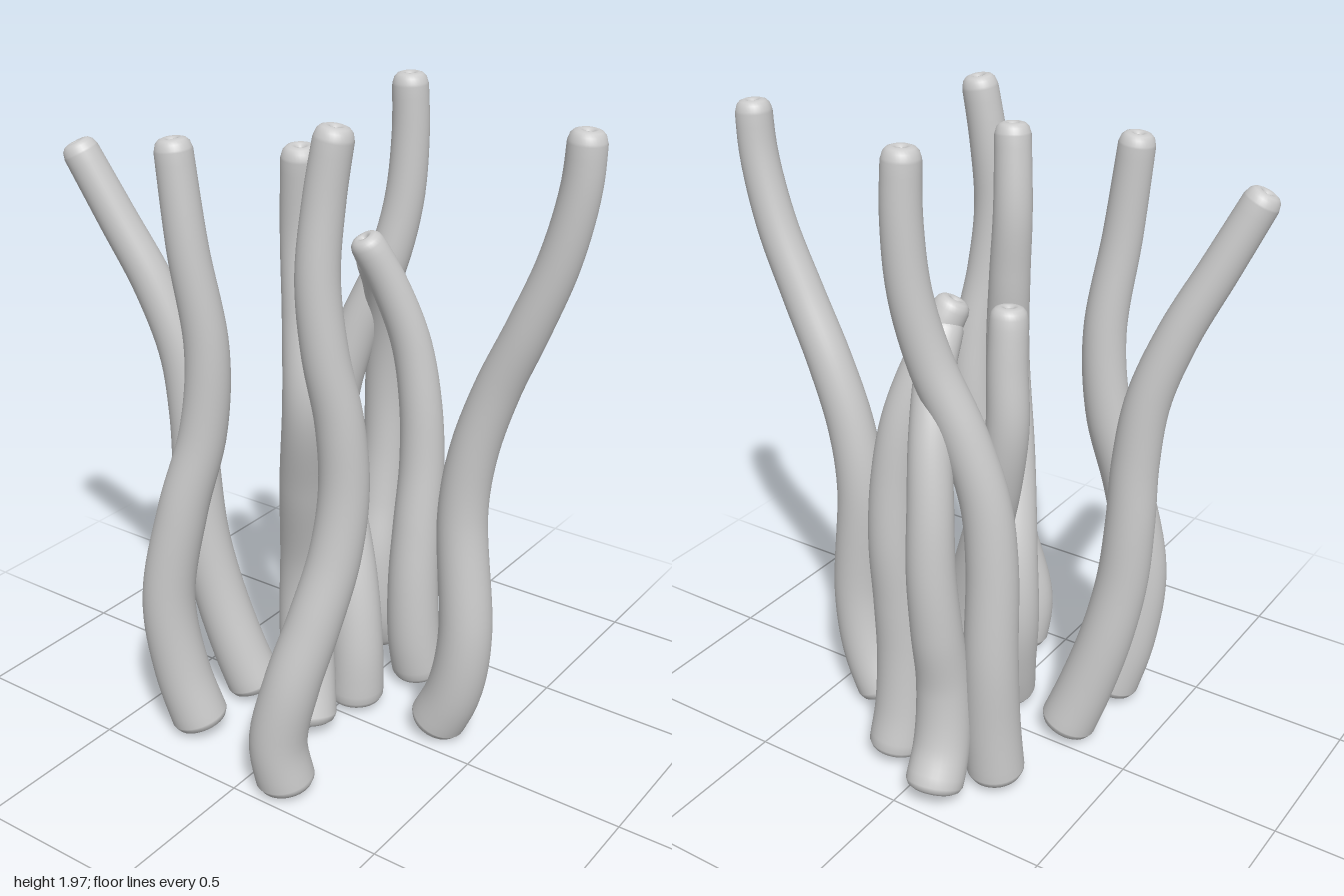
import * as THREE from 'three';

const SIDES = 32, STEPS = 56;
const FOOT_RADIUS = 0.088, TIP_RADIUS = 0.052;

// Centre lines from foot to tip, as [x, y, z]
const STALKS = {
  frontStalk: [[0.1, 0.05, 0.32], [0.1, 0.2, 0.385], [0.1, 0.4, 0.415], [0.11, 0.8, 0.385], [0.115, 1.0, 0.41], [0.125, 1.2, 0.47], [0.13, 1.4, 0.555], [0.14, 1.6, 0.63], [0.145, 1.8, 0.675], [0.145, 1.955, 0.685]],
  backStalk: [[-0.065, 0.05, -0.255], [-0.09, 0.2, -0.305], [-0.115, 0.4, -0.36], [-0.135, 0.6, -0.395], [-0.14, 0.8, -0.41], [-0.145, 1.0, -0.415], [-0.155, 1.2, -0.44], [-0.185, 1.4, -0.505], [-0.23, 1.6, -0.595], [-0.28, 1.815, -0.69]],
  backRightStalk: [[-0.32, 0.05, -0.27], [-0.35, 0.25, -0.32], [-0.37, 0.5, -0.34], [-0.345, 0.8, -0.29], [-0.305, 1.05, -0.235], [-0.3, 1.3, -0.215], [-0.33, 1.6, -0.245], [-0.34, 1.895, -0.275]],
  innerRightStalk: [[-0.13, 0.05, 0.0], [-0.09, 0.2, -0.03], [-0.06, 0.4, -0.06], [-0.07, 0.6, -0.05], [-0.155, 0.9, 0.01], [-0.23, 1.2, 0.075], [-0.215, 1.45, 0.06], [-0.205, 1.65, 0.045], [-0.225, 1.9, 0.06]],
  frontRightStalk: [[-0.405, 0.04, 0.125], [-0.425, 0.2, 0.11], [-0.41, 0.4, 0.15], [-0.36, 0.6, 0.195], [-0.31, 0.8, 0.23], [-0.29, 1.0, 0.245], [-0.305, 1.2, 0.24], [-0.335, 1.4, 0.215], [-0.345, 1.6, 0.2], [-0.33, 1.8, 0.21], [-0.315, 1.99, 0.235]],
  centreStalk: [[0.08, 0.04, 0.035], [0.08, 0.25, 0.035], [0.1, 0.5, 0.0], [0.14, 0.75, -0.08], [0.18, 1.0, -0.16], [0.2, 1.2, -0.2], [0.195, 1.38, -0.195], [0.18, 1.54, -0.19]],
  innerLeftStalk: [[0.315, 0.05, 0.125], [0.29, 0.2, 0.115], [0.285, 0.4, 0.11], [0.3, 0.6, 0.11], [0.32, 0.8, 0.11], [0.32, 1.0, 0.1], [0.305, 1.2, 0.07], [0.26, 1.38, 0.02], [0.2, 1.535, -0.035]],
  outerLeftStalk: [[0.44, 0.07, -0.1], [0.375, 0.2, -0.09], [0.355, 0.4, -0.085], [0.385, 0.6, -0.085], [0.4, 0.8, -0.08], [0.39, 1.0, -0.075], [0.355, 1.2, -0.055], [0.29, 1.37, -0.03], [0.22, 1.48, -0.02]],
  tallLeftStalk: [[0.25, 0.05, -0.2], [0.265, 0.25, -0.195], [0.28, 0.5, -0.2], [0.275, 0.8, -0.2], [0.28, 1.0, -0.18], [0.305, 1.2, -0.125], [0.34, 1.4, -0.05], [0.37, 1.6, -0.008], [0.38, 1.8, 0.005], [0.375, 1.985, 0.003]],
};

// Rounded rim with a small dimple: [distance inward, share of the radius]
const CAP = [[0.02, 0.001], [0.012, 0.14], [0.002, 0.3], [0, 0.5], [0.004, 0.72], [0.013, 0.89], [0.028, 0.98]];

function stalkGeometry(points) {
  const curve = new THREE.CatmullRomCurve3(points.map((p) => new THREE.Vector3(...p)));
  const frames = curve.computeFrenetFrames(STEPS, false);
  const length = curve.getLength();
  const rings = [];
  const addRing = (i, offset, scale) => {
    const t = i / STEPS;
    rings.push({
      centre: curve.getPointAt(t).addScaledVector(frames.tangents[i], offset),
      radius: scale * THREE.MathUtils.lerp(FOOT_RADIUS, TIP_RADIUS, t),
      n: frames.normals[i], b: frames.binormals[i],
    });
  };
  // foot cap, body, tip cap
  CAP.forEach(([d, s]) => addRing(0, d, s));
  for (let i = 1; i < STEPS; i++) {
    const d = (Math.min(i, STEPS - i) / STEPS) * length;
    if (d > 0.03) addRing(i, 0, 1);
  }
  [...CAP].reverse().forEach(([d, s]) => addRing(STEPS, -d, s));

  const position = [], index = [];
  rings.forEach(({ centre, radius, n, b }, r) => {
    for (let j = 0; j < SIDES; j++) {
      const a = (j / SIDES) * Math.PI * 2;
      const p = centre.clone().addScaledVector(n, radius * Math.cos(a)).addScaledVector(b, radius * Math.sin(a));
      position.push(p.x, p.y, p.z);
      if (r === 0) continue;
      const k = (j + 1) % SIDES, lo = (r - 1) * SIDES, hi = r * SIDES;
      index.push(lo + j, lo + k, hi + j, lo + k, hi + k, hi + j);
    }
  });
  const geometry = new THREE.BufferGeometry();
  geometry.setAttribute('position', new THREE.Float32BufferAttribute(position, 3));
  geometry.setIndex(index);
  geometry.computeVertexNormals();
  return geometry;
}

export function createModel() {
  const group = new THREE.Group();
  group.name = 'stalkCluster';
  const material = new THREE.MeshStandardMaterial({ color: 0xcccccc });
  for (const [name, points] of Object.entries(STALKS)) {
    const mesh = new THREE.Mesh(stalkGeometry(points), material);
    mesh.name = name;
    group.add(mesh);
  }
  return group;
}
